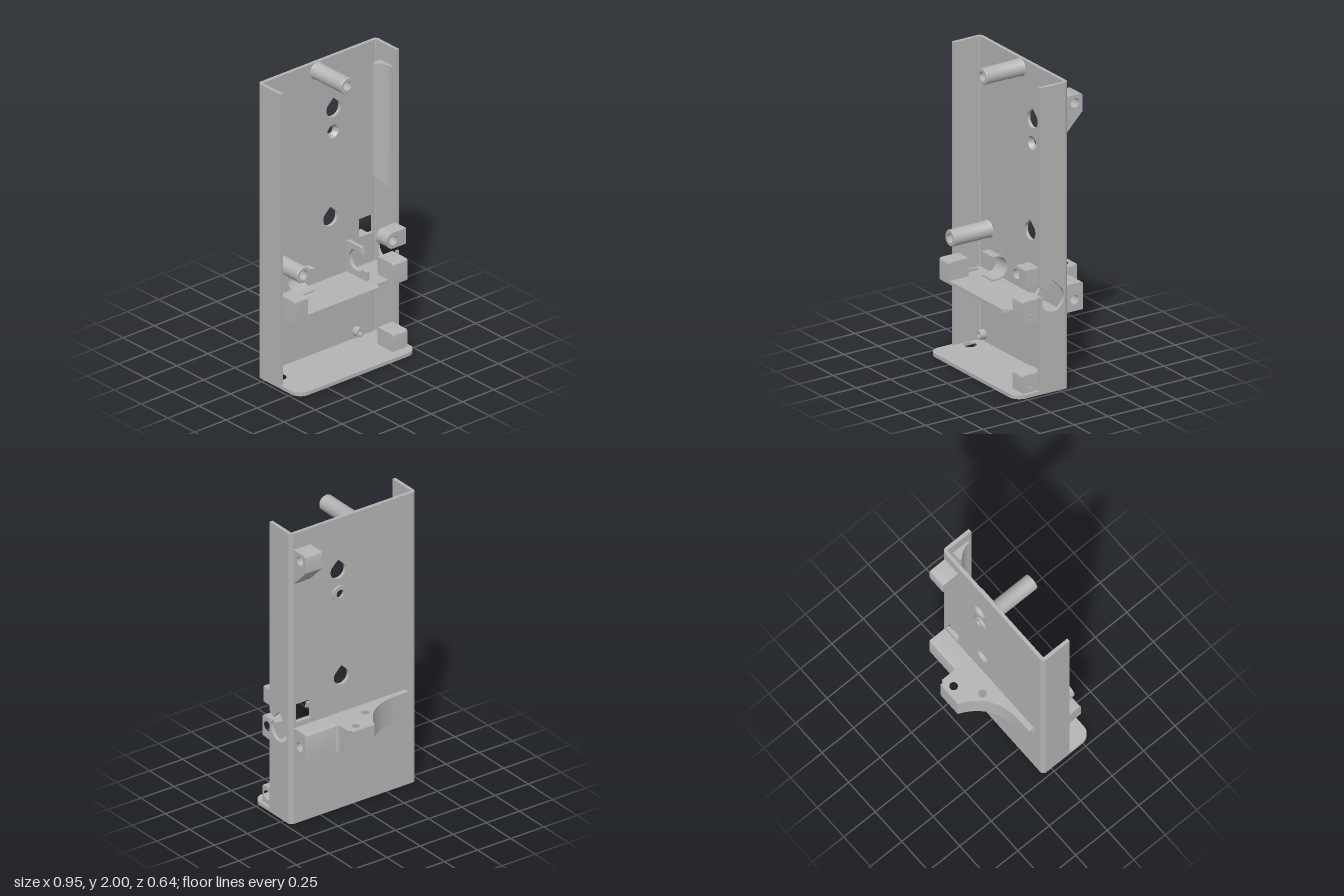
import * as THREE from 'three';
import { toCreasedNormals } from 'three/addons/utils/BufferGeometryUtils.js';

const grey = new THREE.MeshStandardMaterial({ color: 0xb4b4b4 });
grey.name = 'grey plastic';

export function createModel() {
  const model = new THREE.Group();
  model.name = 'wallBracket';

  const add = (name, geo) => {
    const mesh = new THREE.Mesh(toCreasedNormals(geo, 0.6), grey);
    mesh.name = name;
    model.add(mesh);
    return mesh;
  };
  // Points along an arc
  const arc = (cx, cy, r, a0, a1, n = 10) => Array.from({ length: n + 1 }, (_, i) => {
    const a = a0 + (a1 - a0) * i / n;
    return [cx + r * Math.cos(a), cy + r * Math.sin(a)];
  });
  const circle = (cx, cy, r) => arc(cx, cy, r, 0, Math.PI * 2, 28).slice(0, -1);
  const teardrop = (cx, cy, r) => [...arc(cx, cy, r, Math.PI * 0.83, Math.PI * 2.17, 24), [cx, cy + r * 1.33]];
  const rect = (a0, a1, b0, b1) => [[a0, b0], [a1, b0], [a1, b1], [a0, b1]];
  const extrude = (pts, holes, depth, sx, sy) => {
    const map = list => list.map(([a, b]) => new THREE.Vector2(a * sx, b * sy));
    const shape = new THREE.Shape(map(pts));
    for (const h of holes) shape.holes.push(new THREE.Path(map(h)));
    return new THREE.ExtrudeGeometry(shape, { depth, bevelEnabled: false });
  };
  // Outlines in (z, y), (x, z) and (x, y), extruded along the remaining axis
  const alongX = (name, pts, x0, x1, holes = []) =>
    add(name, extrude(pts, holes, x1 - x0, -1, 1).rotateY(Math.PI / 2).translate(x0, 0, 0));
  const alongY = (name, pts, y0, y1, holes = []) =>
    add(name, extrude(pts, holes, y1 - y0, 1, -1).rotateX(-Math.PI / 2).translate(0, y0, 0));
  const alongZ = (name, pts, z0, z1, holes = []) =>
    add(name, extrude(pts, holes, z1 - z0, 1, 1).translate(0, 0, z0));
  const box = (name, x0, x1, y0, y1, z0, z1) => alongZ(name, rect(x0, x1, y0, y1), z0, z1);
  // Turned part with its axis along z
  const turned = (name, x, y, profile) => add(name, new THREE.LatheGeometry(
    profile.map(p => new THREE.Vector2(...p)), 32).rotateX(Math.PI / 2).translate(x, y, 0));
  // Lug with a blind cross hole opening on its +x side
  const lug = (name, pts, x0, x1, hz, hy) => {
    alongX(name + 'Body', pts, x0, x1 - 0.07);
    alongX(name, pts, x1 - 0.07, x1, [circle(hz, hy, 0.031)]);
  };

  const zb = -0.068, zi = -0.045, zc = -0.04, H = 2, W = 0.475;
  const PI = Math.PI;

  // Back panel with keyholes, screw hole and window
  alongZ('backPanel', rect(-W + 0.028, W - 0.028, 0, H), zb, zi, [
    teardrop(0.115, 1.64, 0.057), teardrop(0.09, 0.905, 0.057),
    circle(0.11, 1.485, 0.05), rect(0.32, 0.435, 0.695, 0.82),
  ]);
  turned('screwBoss', 0.11, 1.485, [[0.027, -0.083], [0.052, -0.083], [0.052, zi], [0.045, zi], [0.027, -0.07], [0.027, -0.083]]);

  // Rounded vertical corners
  for (const s of [-1, 1]) {
    const outer = arc(W - 0.028, zc, 0.028, -PI / 2, 0);
    const inner = arc(W - 0.028, zc, 0.005, 0, -PI / 2, 4);
    alongY(s < 0 ? 'rightCorner' : 'leftCorner', [...outer, ...inner].map(([x, z]) => [s * x, z]), 0, H);
  }

  // Side walls; the left one has a round cable opening
  alongX('rightWall', rect(zc, 0.145, 0, H), -W, -W + 0.023);
  alongX('leftWall', [
    [zc, 0], [0.145, 0], [0.145, 0.63],
    ...arc(0.05, 0.61, 0.085, 0.24, -PI * 1.25, 28), [0.05, 0.73],
    ...arc(0.05, 0.61, 0.085, PI / 4, PI / 4 - 0.01, 1).slice(0, 1),
    [0.145, 0.7], [0.145, H], [zc, H],
  ], W - 0.023, W);

  // Floor with rounded front corners and a cable hole
  alongY('floor', [
    ...arc(-W + 0.028, zc, 0.028, PI, PI * 1.5, 6), ...arc(W - 0.028, zc, 0.028, -PI / 2, 0, 6),
    ...arc(W - 0.075, 0.245, 0.075, 0, PI / 2), ...arc(-W + 0.075, 0.245, 0.075, PI / 2, PI),
  ], 0, 0.024, [circle(-0.405, 0.06, 0.04)]);

  // Shelf with a slot at one end
  alongY('shelf', [
    [-0.455, zi], [0.455, zi], [0.455, 0.21], [0.245, 0.21], [0.225, 0.25],
    [-0.44, 0.25], [-0.455, 0.22],
  ], 0.478, 0.5, [rect(-0.44, -0.4, -0.01, 0.12)]);

  // Screw posts
  for (const [x, y] of [[-0.015, 1.94], [-0.365, 0.77]]) {
    turned('screwPost', x, y, [[0.058, zi], [0.053, zi + 0.01], [0.053, 0.23], [0.049, 0.235],
      [0.031, 0.235], [0.031, 0.12], [0, 0.12]]);
  }
  alongZ('sidePost', [...arc(0.353, 0.77, 0.053, PI / 2, PI * 1.5, 14), [0.455, 0.717], [0.455, 0.823]],
    0.135, 0.235, [circle(0.353, 0.77, 0.031)]);

  // Locating pegs on the lower panel
  for (const x of [-0.41, 0.295]) for (const y of [0.07, 0.405]) {
    turned('peg', x, y, [[0.031, zi], [0.031, -0.005], [0.016, -0.005], [0.016, -0.03], [0, -0.03]]);
  }

  // Front lugs
  const lugOutline = (y0, y1) => [[0.11, y0], [0.25, y0], ...arc(0.235, y1 - 0.015, 0.015, 0, PI / 2, 5), [0.11, y1]];
  lug('shelfLug', lugOutline(0.478, 0.62), 0.335, 0.453, 0.2, 0.56);
  lug('floorLug', lugOutline(0.02, 0.14), 0.335, 0.453, 0.203, 0.083);
  alongX('plainLug', lugOutline(0.478, 0.62), -0.455, -0.345);

  // Rear lugs
  lug('upperRearLug', [[-0.06, 1.645], [-0.187, 1.775], ...arc(-0.172, 1.875, 0.015, PI, PI / 2, 5), [-0.06, 1.89]],
    0.325, 0.45, -0.13, 1.838);
  lug('lowerRearLug', [[-0.06, 0.48], [-0.19, 0.48], ...arc(-0.175, 0.645, 0.015, PI, PI / 2, 5), [-0.06, 0.66]],
    0.19, 0.45, -0.128, 0.555);

  // Curved rear bracket with two holes
  const sweep = new THREE.QuadraticBezierCurve(new THREE.Vector2(-0.29, -0.105),
    new THREE.Vector2(-0.065, -0.11), new THREE.Vector2(0.027, -0.322)).getPoints(18).map(p => [p.x, p.y]);
  alongY('rearBracket', [
    [-0.4, -0.06], [-0.39, -0.075], [-0.39, -0.105], ...sweep,
    [0.19, -0.322], [0.19, -0.295], [0.207, -0.295], [0.207, -0.2], [0.22, -0.19], [0.22, -0.06],
  ], 0.48, 0.66, [circle(-0.02, -0.163, 0.026), circle(0.13, -0.267, 0.026)]);

  // C-shaped clip, open to the front
  alongX('cableClip', [
    [0.075, 0.685], ...arc(0.035, 0.605, 0.08, PI / 2, PI * 1.5, 16), [0.075, 0.525],
    [0.075, 0.535], ...arc(0.035, 0.605, 0.07, PI * 1.5, PI / 2, 16), [0.075, 0.675],
  ], -0.26, -0.14);

  // Cradle rib with a round bite
  alongX('cradleRib', [
    [zi, 0.49], [0.14, 0.49], [0.14, 0.56],
    ...arc(0.05, 0.61, 0.072, -PI * 0.2, -PI * 1.75, 20), [0.09, 0.71], [zi, 0.71],
  ], 0.218, 0.243);

  // Concave strip inside the left wall, its lower end cut at a slant
  const strip = alongY('wallStrip', [
    [0.455, 0], [0.388, 0], ...arc(0.31, 0.12, 0.128, -0.9, 0, 8), [0.455, 0.12],
  ], 1.05, 1.88);
  const p = strip.geometry.attributes.position;
  for (let i = 0; i < p.count; i++) {
    if (p.getY(i) < 1.5) p.setY(i, 1.05 + Math.max(0, 0.445 - p.getX(i)));
  }
  strip.geometry = toCreasedNormals(strip.geometry, 0.6);

  return model;
}
